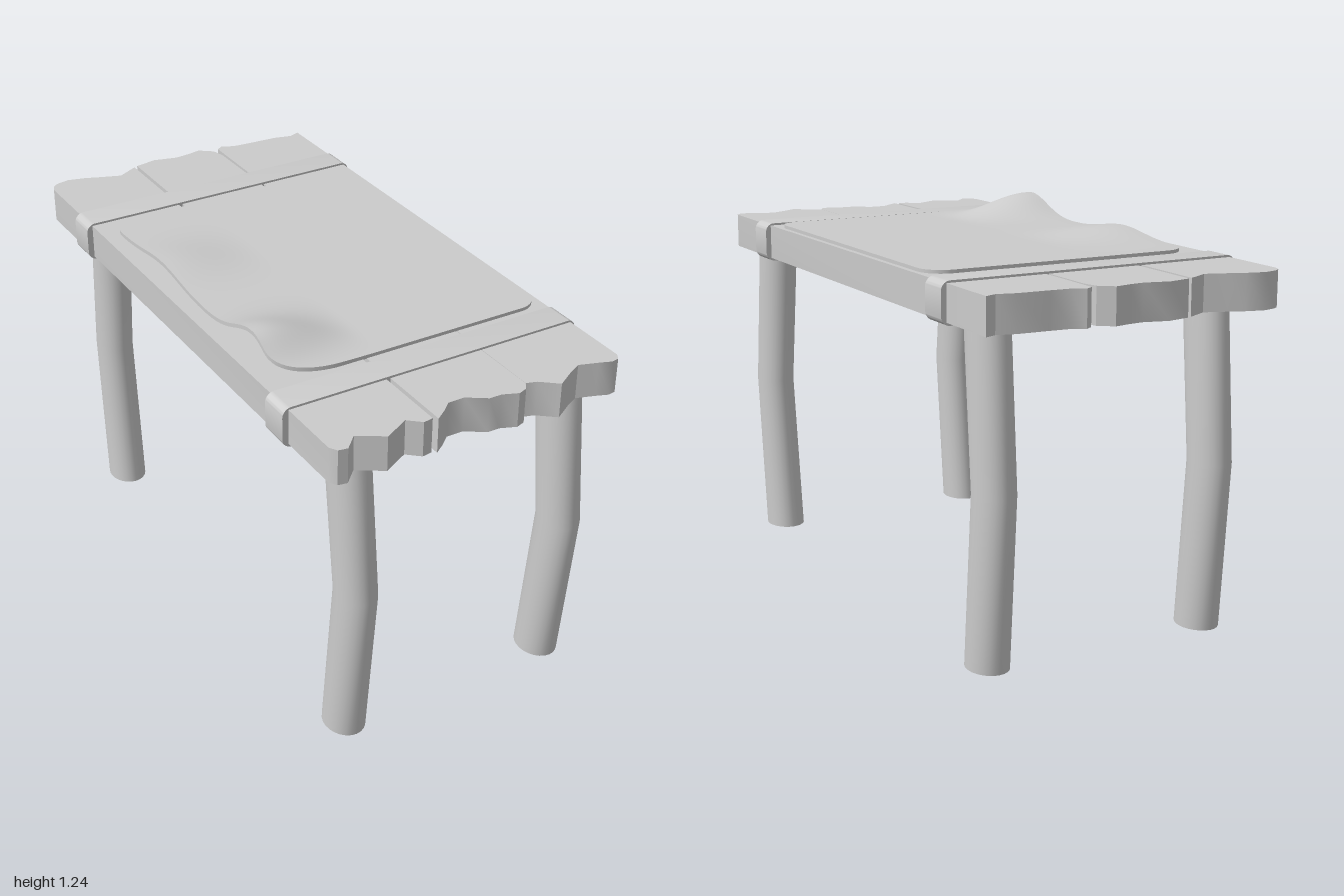
import * as THREE from 'three';
import { toCreasedNormals } from 'three/addons/utils/BufferGeometryUtils.js';

const material = new THREE.MeshStandardMaterial({ color: 0xcccccc });

function addMesh(group, name, geometry, crease = 0.6) {
  const mesh = new THREE.Mesh(toCreasedNormals(geometry, crease), material);
  mesh.name = name;
  group.add(mesh);
}

// Ragged plank: outline in [x, z] pairs, back end left to right, front end left to right
function plank(back, front) {
  const outline = [...back, ...front.slice().reverse()];
  const shape = new THREE.Shape(outline.map(([x, z]) => new THREE.Vector2(x, -z)));
  const geometry = new THREE.ExtrudeGeometry(shape, { depth: 0.115, bevelEnabled: false });
  return geometry.rotateX(-Math.PI / 2).translate(0, 1.04, 0);
}

// Strap round the planks, with rounded corners
function band(z) {
  const w = 0.515, b = 1.03, t = 1.162, r = 0.03;
  const s = new THREE.Shape();
  s.absarc(w - r, b + r, r, -Math.PI / 2, 0);
  s.absarc(w - r, t - r, r, 0, Math.PI / 2);
  s.absarc(-w + r, t - r, r, Math.PI / 2, Math.PI);
  s.absarc(-w + r, b + r, r, Math.PI, Math.PI * 1.5);
  const geometry = new THREE.ExtrudeGeometry(s, { depth: 0.1, bevelEnabled: false, curveSegments: 6 });
  return geometry.translate(0, 0, z - 0.05);
}

// Leg bowed outwards at mid height
function leg(x, z) {
  const geometry = new THREE.CylinderGeometry(1, 1, 1.05, 24, 2);
  geometry.scale(0.065, 1, 0.08).translate(x, 0.525, z);
  const p = geometry.attributes.position;
  for (let i = 0; i < p.count; i++) {
    if (Math.abs(p.getY(i) - 0.525) < 0.1) {
      p.setY(i, 0.55);
      p.setZ(i, p.getZ(i) + 0.05 * Math.sign(z));
      p.setX(i, x + (p.getX(i) - x) * 0.97 + 0.005);
    }
  }
  return geometry;
}

// Thin sheet with rounded corners, curling up along its -x edge
function sheet() {
  const N = 48, ROWS = 72, z0 = -0.58, z1 = 0.59, positions = [], index = [];
  const inset = (d, rx, rz) => (d >= rz ? 0 : rx * (1 - Math.sqrt(1 - ((rz - d) / rz) ** 2)));
  const bump = (z, c, s) => Math.exp(-(((z - c) / s) ** 2) / 2);
  const lift = (x, z) => (1 - THREE.MathUtils.smoothstep(x, -0.42, -0.1)) *
    (0.075 * bump(z, 0.41, z > 0.41 ? 0.075 : 0.11) + 0.03 * bump(z, -0.2, 0.12));
  for (let j = 0; j <= ROWS; j++) {
    const z = z0 + (z1 - z0) * (1 - Math.cos((Math.PI * j) / ROWS)) / 2;
    const left = -0.44 + inset(z - z0, 0.08, 0.08) + inset(z1 - z, 0.2, 0.11);
    const right = 0.48 - inset(z - z0, 0.08, 0.08) - inset(z1 - z, 0.07, 0.07);
    for (let i = 0; i < 2 * N; i++) {
      const k = i < N ? i : 2 * N - 1 - i;
      const x = left + ((right - left) * k) / (N - 1);
      positions.push(x, (i < N ? 1.166 : 1.153) + lift(x, z), z);
    }
  }
  const quad = (a, b, c, d) => index.push(a, d, c, a, c, b);
  const ring = 2 * N, last = ROWS * ring;
  for (let j = 0; j < ROWS; j++) {
    for (let i = 0; i < ring; i++) {
      const n = (i + 1) % ring;
      quad(j * ring + i, j * ring + n, (j + 1) * ring + n, (j + 1) * ring + i);
    }
  }
  for (let i = 0; i < N - 1; i++) {
    const under = ring - 1 - i;
    quad(under, under - 1, i + 1, i);
    quad(last + i, last + i + 1, last + under - 1, last + under);
  }
  const geometry = new THREE.BufferGeometry();
  geometry.setAttribute('position', new THREE.Float32BufferAttribute(positions, 3));
  geometry.setIndex(index);
  return geometry;
}

export function createModel() {
  const group = new THREE.Group();
  group.name = 'table';

  // Table top planks
  addMesh(group, 'rightPlank', plank(
    [[-0.495, -0.95], [-0.485, -0.975], [-0.465, -0.99], [-0.42, -1], [-0.36, -0.985], [-0.31, -0.965], [-0.24, -0.94], [-0.168, -0.98]],
    [[-0.495, 0.94], [-0.48, 0.965], [-0.45, 0.97], [-0.405, 0.925], [-0.325, 0.975], [-0.24, 0.93], [-0.2, 0.965], [-0.168, 0.96]]));
  addMesh(group, 'middlePlank', plank(
    [[-0.155, -0.985], [-0.08, -1], [0, -0.98], [0.05, -0.985], [0.1, -0.995], [0.145, -0.96], [0.157, -0.91]],
    [[-0.155, 0.97], [-0.12, 0.945], [-0.085, 0.915], [-0.03, 0.915], [0.03, 0.955], [0.07, 0.955], [0.12, 0.975], [0.15, 0.965], [0.166, 0.94]]));
  addMesh(group, 'leftPlank', plank(
    [[0.167, -0.97], [0.19, -0.985], [0.23, -0.965], [0.3, -0.96], [0.4, -0.955], [0.46, -0.94], [0.497, -0.955]],
    [[0.167, 0.94], [0.2, 0.95], [0.255, 0.995], [0.32, 0.955], [0.36, 0.935], [0.42, 0.955], [0.46, 0.97], [0.485, 0.965], [0.497, 0.945]]));

  // Straps
  addMesh(group, 'frontBand', band(0.67));
  addMesh(group, 'backBand', band(-0.67));

  // Legs
  addMesh(group, 'frontRightLeg', leg(-0.355, 0.81));
  addMesh(group, 'frontLeftLeg', leg(0.395, 0.81));
  addMesh(group, 'backRightLeg', leg(-0.355, -0.795));
  addMesh(group, 'backLeftLeg', leg(0.405, -0.795));

  // Curled sheet on the table top
  addMesh(group, 'sheet', sheet());
  return group;
}
